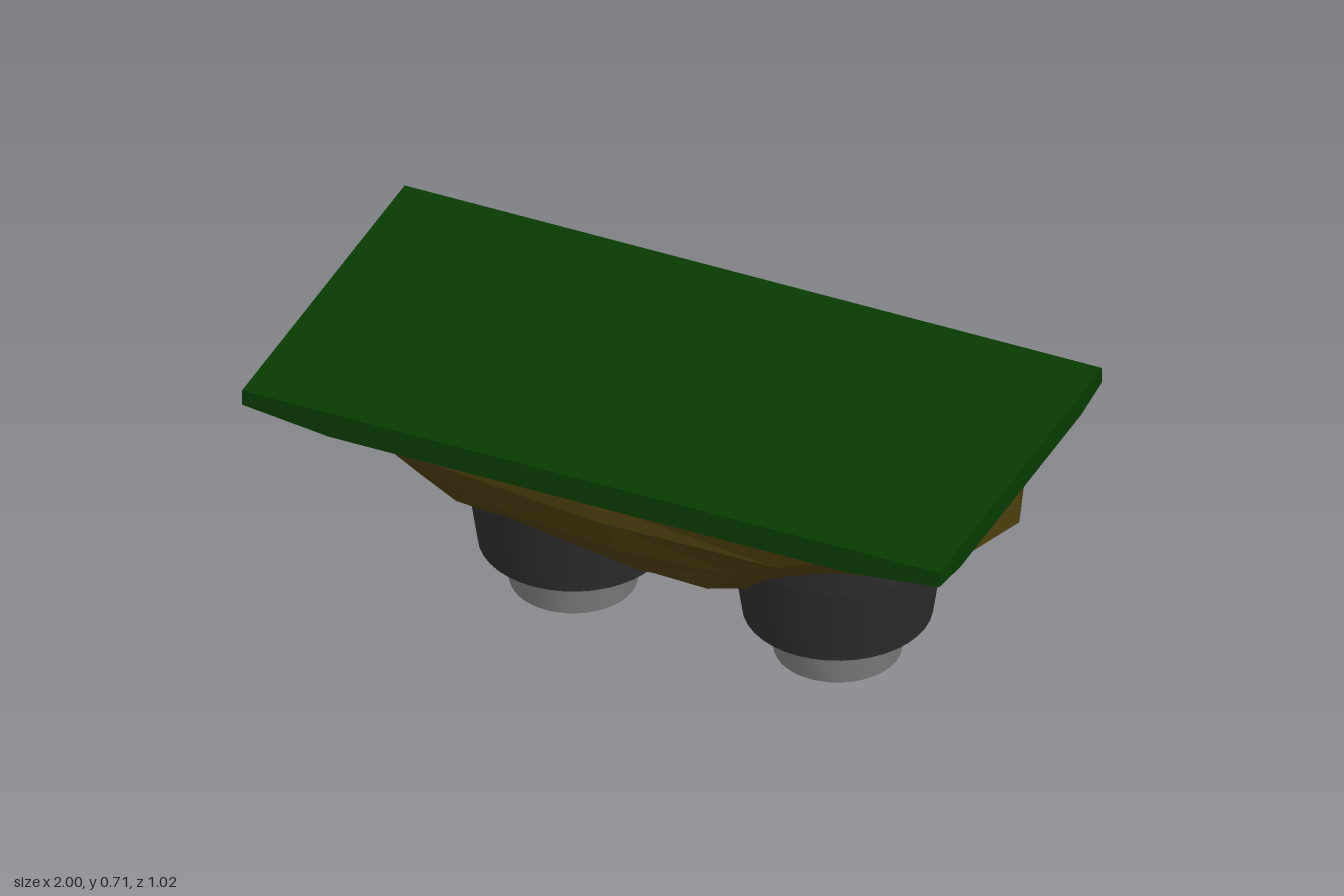
import * as THREE from 'three';
import { ConvexGeometry } from 'three/addons/geometries/ConvexGeometry.js';

const mat = (color, opts = {}) => new THREE.MeshStandardMaterial({ color, ...opts });

function part(name, geometry, material) {
  const mesh = new THREE.Mesh(geometry, material);
  mesh.name = name;
  return mesh;
}

// Repeatable pseudo-random value in -1..1
const jitter = (i, j) => {
  const s = Math.sin(i * 12.99 + j * 78.23) * 43758.5453;
  return 2 * (s - Math.floor(s)) - 1;
};

// Rectangular turf slab, its lower corners chamfered
function grassSlab() {
  const pts = [];
  for (const sx of [-1, 1]) for (const sz of [-1, 1]) {
    pts.push(
      new THREE.Vector3(sx, 0.715, sz * 0.512),
      new THREE.Vector3(sx, 0.67, sz * 0.512),
      new THREE.Vector3(sx * 0.75, 0.64, sz * 0.512),
      new THREE.Vector3(sx, 0.65, sz * 0.38)
    );
  }
  return new ConvexGeometry(pts);
}

// Hollows (+) and lumps (-) of the rock: x, z, radius, height, first ring affected
const bumps = [
  [-0.5, 0.02, 0.17, 0.06, 4],
  [-0.2, 0.28, 0.16, 0.07, 4],
  [-0.25, -0.3, 0.17, 0.08, 4],
  [-0.62, -0.28, 0.15, -0.03, 4],
  [-0.5, 0.5, 0.4, 0.035, 1]
];

// Faceted rock: superellipse rings shrinking towards the underside
function rockGeometry() {
  const N = 16;
  // y, xMin, xMax, zMin, zMax, squareness, roughness
  const levels = [
    [0.65, -0.998, 0.998, -0.51, 0.51, 5.4, 0],
    [0.57, -1.0, 1.0, -0.51, 0.51, 3, 0.016],
    [0.49, -0.87, 0.82, -0.46, 0.41, 2.7, 0.022],
    [0.40, -0.80, 0.68, -0.41, 0.345, 2.6, 0.022],
    [0.275, -0.68, 0.48, -0.345, 0.28, 2.5, 0.018],
    [0.235, -0.54, 0.32, -0.25, 0.20, 2.3, 0.012],
    [0.19, -0.18, 0.21, -0.12, 0.10, 2, 0.005]
  ];
  const rings = levels.map(([y, x0, x1, z0, z1, p, rough], i) =>
    Array.from({ length: N }, (_, j) => {
      const t = (j / N) * Math.PI * 2;
      const c = Math.cos(t), s = Math.sin(t);
      // the back left corner is cut away more steeply
      const cut = i > 0 && c > 0 && s < 0 ? 1 - 0.07 * Math.sin(2 * t) ** 2 : 1;
      let x = cut * (c > 0 ? x1 : -x0) * Math.sign(c) * Math.abs(c) ** (2 / p);
      let z = cut * (s > 0 ? z1 : -z0) * Math.sign(s) * Math.abs(s) ** (2 / p);
      x += rough * jitter(i, j);
      z += rough * jitter(i + 9, j);
      let h = y + rough * jitter(i + 20, j);
      for (const [bx, bz, r, height, from] of bumps) {
        if (i >= from) h += height * Math.exp(-((x - bx) ** 2 + (z - bz) ** 2) / (r * r));
      }
      return [THREE.MathUtils.clamp(x, -1, 1), h, THREE.MathUtils.clamp(z, -0.51, 0.51)];
    }));
  const v = [];
  for (let i = 0; i < rings.length - 1; i++) {
    for (let j = 0; j < N; j++) {
      const k = (j + 1) % N;
      const a = rings[i][j], b = rings[i][k], c = rings[i + 1][j], d = rings[i + 1][k];
      if ((i + j) % 2) v.push(...a, ...b, ...c, ...b, ...d, ...c);
      else v.push(...a, ...b, ...d, ...a, ...d, ...c);
    }
  }
  const last = rings[rings.length - 1];
  for (let j = 0; j < N; j++) v.push(...last[j], ...last[(j + 1) % N], 0.03, 0.18, 0);
  const g = new THREE.BufferGeometry();
  g.setAttribute('position', new THREE.Float32BufferAttribute(v, 3));
  g.computeVertexNormals();
  return g;
}

// Surface of revolution with each profile segment kept crisp
function turned(name, profile, material) {
  const group = new THREE.Group();
  group.name = name;
  for (let i = 0; i < profile.length - 1; i++) {
    const pts = [profile[i], profile[i + 1]].map(([r, y]) => new THREE.Vector2(r, y));
    group.add(part(name + 'Surface', new THREE.LatheGeometry(pts, 40), material));
  }
  return group;
}

export function createModel() {
  const model = new THREE.Group();
  model.name = 'floatingIsland';
  model.add(part('grassSlab', grassSlab(), mat(0x083b02)));
  model.add(part('rock', rockGeometry(), mat(0x4c3d0e, { flatShading: true })));

  const hoodMat = mat(0x2c2c2c, { side: THREE.DoubleSide });
  const nozzleMat = mat(0x808080, { side: THREE.DoubleSide });
  // Two thrusters set into the underside; the left hood reaches higher
  for (const [name, x, top] of [['rightThruster', -0.285, 0.43], ['leftThruster', 0.473, 0.5]]) {
    const thruster = new THREE.Group();
    thruster.name = name;
    thruster.add(turned('hood', [
      [0.2, 0.17], [0.215, 0.17], [0.215, 0.127], [0.25, 0.127], [0.284, 0.36], [0.29, top - 0.04], [0.26, top], [0, top + 0.01]
    ], hoodMat));
    thruster.add(turned('nozzle', [
      [0, 0.25], [0.15, 0.25], [0.137, 0], [0.168, 0], [0.196, 0.128], [0.2, 0.17]
    ], nozzleMat));
    thruster.position.set(x, 0, -0.005);
    model.add(thruster);
  }
  return model;
}
